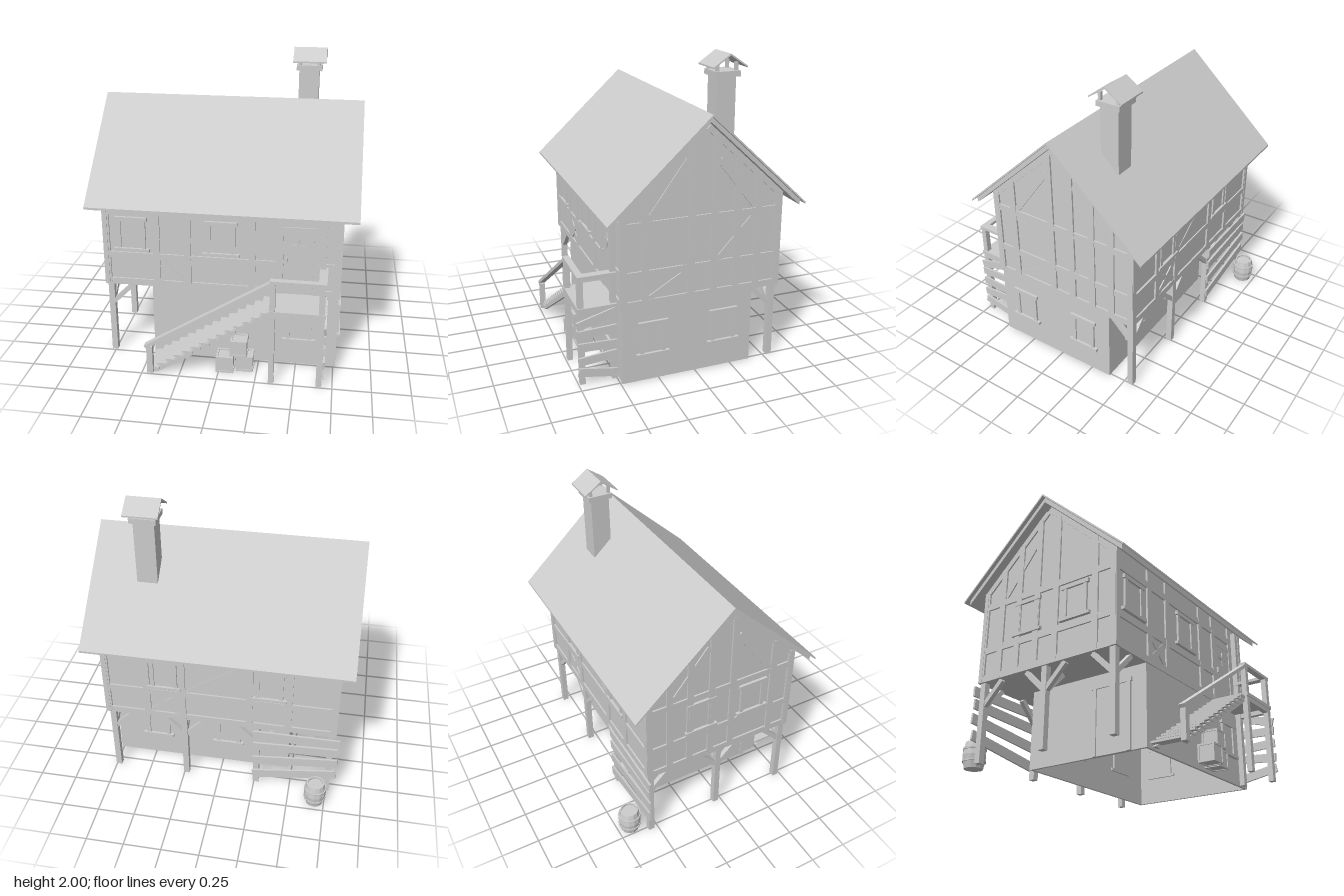
import * as THREE from 'three';

export function createModel() {
  const root = new THREE.Group();
  root.name = 'timberHouse';
  const mat = new THREE.MeshStandardMaterial({ color: 0xcccccc });
  mat.name = 'plain grey';

  const part = (name, parent = root) => {
    const g = new THREE.Group();
    g.name = name;
    parent.add(g);
    return g;
  };
  const add = (parent, name, geo, x = 0, y = 0, z = 0) => {
    const m = new THREE.Mesh(geo, mat);
    m.name = name;
    m.position.set(x, y, z);
    parent.add(m);
    return m;
  };
  // box given by its minimum and maximum on each axis
  const box = (parent, name, x0, x1, y0, y1, z0, z1) =>
    add(parent, name, new THREE.BoxGeometry(x1 - x0, y1 - y0, z1 - z0), (x0 + x1) / 2, (y0 + y1) / 2, (z0 + z1) / 2);
  // bar from point a to point b
  const bar = (parent, name, a, b, w, h) => {
    const A = new THREE.Vector3(...a), B = new THREE.Vector3(...b);
    const m = new THREE.Mesh(new THREE.BoxGeometry(w, h, A.distanceTo(B)), mat);
    m.name = name;
    m.position.copy(A).lerp(B, 0.5);
    m.lookAt(B);
    parent.add(m);
  };
  // prism with its outline in (z, y), running along x
  const prismX = (parent, name, pts, x0, x1) => {
    const s = new THREE.Shape(pts.map(([z, y]) => new THREE.Vector2(-z, y)));
    const g = new THREE.ExtrudeGeometry(s, { depth: x1 - x0, bevelEnabled: false });
    return add(parent, name, g.rotateY(Math.PI / 2), x0, 0, 0);
  };

  const CZ = -0.042, SLOPE = 0.93;
  const X0 = -0.79, X1 = 0.775, ZB = -0.575, ZF = 0.495, FLOOR = 0.515;

  // ground floor walls, open underneath
  const ground = part('groundFloor');
  box(ground, 'groundWallFront', -0.47, 0.765, 0, FLOOR, 0.47, 0.487);
  box(ground, 'groundWallBack', -0.47, 0.765, 0, FLOOR, -0.39, -0.373);
  box(ground, 'groundWallLeft', 0.748, 0.765, 0, FLOOR, -0.373, 0.47);
  box(ground, 'groundWallRight', -0.47, -0.453, 0, FLOOR, -0.373, 0.47);

  // upper storey with gables
  prismX(root, 'upperWalls', [[ZB + 0.012, FLOOR], [ZF - 0.012, FLOOR], [ZF - 0.012, 1.17], [CZ, 1.66], [ZB + 0.012, 1.17]],
    X0 + 0.012, X1 - 0.012);

  // one local frame per wall: x along the wall, y up, z outward
  const face = (name, angle, dist) => {
    const g = part(name);
    g.rotation.y = angle;
    g.userData.dist = dist;
    return g;
  };
  const front = face('frontTimbers', 0, ZF);
  const left = face('leftTimbers', Math.PI / 2, X1);
  const back = face('backTimbers', Math.PI, -ZB);
  const right = face('rightTimbers', -Math.PI / 2, -X0);

  const beam = (f, u1, v1, u2, v2, w = 0.045, d = 0) => {
    const m = add(f, 'beam', new THREE.BoxGeometry(Math.hypot(u2 - u1, v2 - v1), w, 0.03),
      (u1 + u2) / 2, (v1 + v2) / 2, f.userData.dist - 0.015 - d);
    m.rotation.z = Math.atan2(v2 - v1, u2 - u1);
  };
  const rails = (f, a, b) => [0.5375, 0.73, 1.043].forEach((v) => beam(f, a, v, b, v, 0.045, 0.001));
  const windowUnit = (f, u, v0, w, h, dist) => {
    const g = part('window', f);
    const b = (n, x0, x1, y0, y1, p) => box(g, n, u + x0, u + x1, v0 + y0, v0 + y1, dist - 0.03, dist + p);
    const k = w / 2;
    b('pane', -k + 0.02, k - 0.02, 0.015, h - 0.015, 0.004);
    for (const s of [-1, 1]) b('jamb', s * (k - 0.013) - 0.013, s * (k - 0.013) + 0.013, 0.01, h - 0.02, 0.014);
    b('lintel', -k - 0.013, k + 0.013, h - 0.026, h, 0.018);
    b('sill', -k - 0.025, k + 0.025, 0, 0.02, 0.022);
  };

  // front timbers
  rails(front, X0, 0.4);
  [[0.5375, 0.6], [0.73, 0.6], [1.043, 0.35]].forEach(([v, u]) => beam(front, u, v, X1, v, 0.045, 0.001));
  [-0.77, -0.434, -0.228, 0.196, 0.376, 0.618, 0.753].forEach((u) => beam(front, u, FLOOR, u, 1.15));
  beam(front, -0.41, 0.56, -0.25, 0.71, 0.035, 0.004);
  beam(front, -0.41, 0.71, -0.25, 0.56, 0.035, 0.005);

  // back timbers
  rails(back, -X1, -X0);
  [-0.755, -0.48, -0.24, 0.21, 0.47, 0.77].forEach((u) => beam(back, u, FLOOR, u, 1.13));
  beam(back, -0.22, 0.75, 0.19, 1.02, 0.03, 0.008);
  beam(back, -0.22, 1.02, 0.19, 0.75, 0.03, 0.009);
  beam(back, -0.46, 0.56, -0.26, 0.71, 0.035, 0.004);
  beam(back, -0.46, 0.71, -0.26, 0.56, 0.035, 0.005);

  // gable timbers
  for (const [f, s] of [[left, 1], [right, -1]]) {
    const c = -s * CZ;
    const roofY = (u) => 1.655 - SLOPE * (Math.abs(u - c) + 0.022);
    rails(f, c - 0.535, c + 0.535);
    [-0.477, -0.34, -0.037, 0.117, 0.27, 0.413, 0.555].forEach((u) => beam(f, s * u, FLOOR, s * u, roofY(s * u)));
    for (const k of [-1, 1]) beam(f, c + k * 0.02, 1.61, c + k * 0.53, 1.61 - SLOPE * 0.51, 0.045, 0.002);
  }
  beam(left, -0.317, 1.02, -0.06, 0.75, 0.04, 0.004);
  beam(left, -0.317, 1.065, -0.06, 1.42, 0.04, 0.004);
  beam(left, 0.14, 0.75, 0.39, 1.02, 0.04, 0.004);
  beam(left, 0.14, 1.4, 0.39, 1.08, 0.04, 0.004);
  beam(left, -0.317, 0.56, -0.06, 0.71, 0.035, 0.004);
  beam(right, 0.317, 1.065, 0.06, 1.42, 0.04, 0.004);
  beam(right, -0.14, 1.4, -0.39, 1.08, 0.04, 0.004);

  // windows
  windowUnit(front, -0.6, 0.765, 0.19, 0.24, ZF - 0.012);
  windowUnit(front, -0.005, 0.765, 0.19, 0.24, ZF - 0.012);
  windowUnit(back, -0.36, 0.765, 0.18, 0.24, -ZB - 0.012);
  windowUnit(back, 0.34, 0.765, 0.18, 0.24, -ZB - 0.012);
  windowUnit(right, -0.19, 0.765, 0.18, 0.24, -X0 - 0.012);
  windowUnit(right, 0.19, 0.765, 0.18, 0.24, -X0 - 0.012);
  windowUnit(front, 0.515, 0.175, 0.17, 0.235, 0.487);
  windowUnit(left, -0.29, 0.175, 0.17, 0.235, 0.765);
  windowUnit(left, 0.19, 0.175, 0.17, 0.235, 0.765);
  windowUnit(back, -0.47, 0.175, 0.17, 0.235, 0.39);
  windowUnit(back, 0.04, 0.175, 0.17, 0.235, 0.39);

  // upper door with a star light and handle, and the side door
  const door = part('upperDoor');
  box(door, 'doorLeaf', 0.4, 0.595, 0.525, 0.955, 0.46, 0.489);
  beam(front, 0.4, 0.975, 0.6, 0.975, 0.04, 0.003);
  box(door, 'handle', 0.415, 0.425, 0.745, 0.785, 0.485, 0.503);
  const star = new THREE.Shape(Array.from({ length: 8 }, (_, i) => {
    const r = i % 2 ? 0.016 : 0.05, a = (i * Math.PI) / 4;
    return new THREE.Vector2(r * Math.cos(a), r * Math.sin(a));
  }));
  add(door, 'starLight', new THREE.ExtrudeGeometry(star, { depth: 0.008, bevelEnabled: false }), 0.495, 0.87, 0.488);
  box(root, 'porchPost', 0.64, 0.675, 0.525, 1.12, 0.495, 0.53);
  const side = part('sideDoor');
  box(side, 'doorLeaf', -0.477, -0.45, 0, 0.42, 0.12, 0.36);
  for (const z of [0.105, 0.355]) box(side, 'doorJamb', -0.485, -0.45, 0, 0.42, z, z + 0.025);
  box(side, 'doorLintel', -0.485, -0.45, 0.42, 0.445, 0.095, 0.39);

  // roof: thin covering over a slightly smaller deck
  const roof = part('roof');
  const slab = (name, apex, half, t, x0, x1) => {
    const e = apex - half * SLOPE;
    prismX(roof, name, [[CZ - half, e], [CZ - half, e - t], [CZ, apex - t], [CZ + half, e - t], [CZ + half, e], [CZ, apex]].reverse(), x0, x1);
  };
  slab('roofCovering', 1.7, 0.645, 0.014, -0.872, 0.868);
  slab('roofDeck', 1.686, 0.62, 0.035, -0.845, 0.84);

  // chimney
  const chimney = part('chimney');
  box(chimney, 'stack', 0.425, 0.56, 1.3, 1.86, -0.332, -0.205);
  box(chimney, 'collar', 0.408, 0.58, 1.855, 1.89, -0.353, -0.187);
  for (const x of [0.42, 0.547]) for (const z of [-0.342, -0.215]) box(chimney, 'capPost', x, x + 0.02, 1.89, 1.943, z, z + 0.02);
  prismX(chimney, 'capRoof', [[-0.385, 1.912], [-0.385, 1.922], [-0.271, 2], [-0.158, 1.922], [-0.158, 1.912], [-0.271, 1.988]], 0.385, 0.608);

  // posts and braces carrying the overhang
  const posts = part('overhangPosts');
  const post = (x, z, dirs) => {
    box(posts, 'post', x - 0.02, x + 0.02, 0, FLOOR, z - 0.02, z + 0.02);
    for (const [dx, dz] of dirs)
      bar(posts, 'brace', [x, 0.36, z], [x + dx * 0.15, 0.51, z + dz * 0.15], 0.03, 0.03);
  };
  post(0.735, -0.545, [[-1, 0], [0, 1]]);
  post(0.235, -0.545, [[-1, 0], [1, 0], [0, 1]]);
  post(-0.262, -0.545, [[-1, 0], [1, 0], [0, 1]]);
  post(-0.757, -0.545, [[1, 0], [0, 1]]);
  post(-0.757, -0.04, [[0, -1], [0, 1], [1, 0]]);
  post(-0.757, 0.465, [[0, -1], [1, 0]]);

  // loose planks nailed to the posts at the back corner and under the landing
  const planks = part('planks');
  [[0.455, 0.455], [0.375, 0.35], [0.28, 0.22], [0.175, 0.09]].forEach(([a, b], i) =>
    bar(planks, 'backPlank', [-0.82 + 0.01 * (i % 2), a, -0.573], [-0.24, b, -0.573], 0.014, 0.065));
  [[0.48, 0.41], [0.35, 0.36], [0.265, 0.255], [0.165, 0.185], [0.095, 0.05]].forEach(([a, b], i) =>
    bar(planks, 'landingPlank', [0.69, i ? a : b, 0.75], [0.69, i ? b : a, 0.5], 0.014, 0.055));

  // landing
  const landing = part('landing');
  box(landing, 'landingFloor', 0.335, 0.69, 0.5, 0.525, 0.49, 0.745);
  box(landing, 'landingBeam', 0.34, 0.685, 0.47, 0.5, 0.705, 0.74);
  box(landing, 'landingBeam', 0.65, 0.685, 0.47, 0.5, 0.49, 0.705);
  box(landing, 'landingPost', 0.337, 0.372, 0, 0.72, 0.705, 0.74);
  box(landing, 'landingPost', 0.645, 0.682, 0, 0.72, 0.705, 0.74);
  box(landing, 'landingPost', 0.645, 0.682, 0, 0.5, 0.495, 0.53);
  box(landing, 'frontRail', 0.335, 0.69, 0.715, 0.735, 0.7, 0.742);
  box(landing, 'sideRail', 0.637, 0.69, 0.715, 0.735, 0.495, 0.7);

  // stairs
  const stairs = part('stairs');
  const N = 14;
  for (let i = 0; i < N; i++) {
    const x = -0.455 + i * 0.0565, y = 0.022 + i * 0.0357;
    box(stairs, 'tread', x, x + 0.068, y, y + 0.014, 0.5, 0.725);
  }
  const slope = new THREE.Shape([[-0.455, 0], [-0.4, 0], [0.335, 0.46], [0.335, 0.51]].map((p) => new THREE.Vector2(...p)));
  for (const z of [0.51, 0.7])
    add(stairs, 'stringer', new THREE.ExtrudeGeometry(slope, { depth: 0.02, bevelEnabled: false }), 0, 0, z);
  box(stairs, 'newelPost', -0.465, -0.425, 0, 0.2, 0.705, 0.74);
  bar(stairs, 'handrail', [-0.475, 0.195, 0.721], [0.36, 0.722, 0.721], 0.042, 0.022);

  // crates with framed sides
  const crate = (x, y, z, s, turn) => {
    const g = part('crate');
    g.position.set(x, y, z);
    g.rotation.y = turn;
    const h = s / 2, t = 0.012;
    box(g, 'crateBody', -h + 0.006, h - 0.006, 0.004, s - 0.008, -h + 0.006, h - 0.006);
    for (const a of [-1, 1]) for (const b of [-1, 1]) {
      const p = a * (h - t / 2), q = b * (h - t / 2), yy = a < 0 ? t / 2 : s - t / 2;
      add(g, 'crateEdge', new THREE.BoxGeometry(t, s, t), p, h, q);
      add(g, 'crateEdge', new THREE.BoxGeometry(s - 2 * t, t, t), 0, yy, q);
      add(g, 'crateEdge', new THREE.BoxGeometry(t, t, s - 2 * t), q, yy, 0);
    }
  };
  crate(0.04, 0, 0.61, 0.115, 0);
  crate(0.17, 0, 0.58, 0.11, 0);
  crate(0.13, 0.115, 0.59, 0.112, 0);

  // barrel with hoops
  const barrel = part('barrel');
  barrel.position.set(-0.685, 0, -0.665);
  const lathe = (name, pts) =>
    add(barrel, name, new THREE.LatheGeometry(pts.map((p) => new THREE.Vector2(...p)), 12).toNonIndexed()).geometry.computeVertexNormals();
  lathe('staves', [[0, 0], [0.06, 0], [0.07, 0.045], [0.075, 0.085], [0.07, 0.125], [0.06, 0.17], [0.051, 0.17], [0.051, 0.155], [0, 0.155]]);
  for (const y of [0.042, 0.118]) lathe('hoop', [[0.066, y], [0.076, y], [0.076, y + 0.012], [0.066, y + 0.012]]);

  return root;
}
